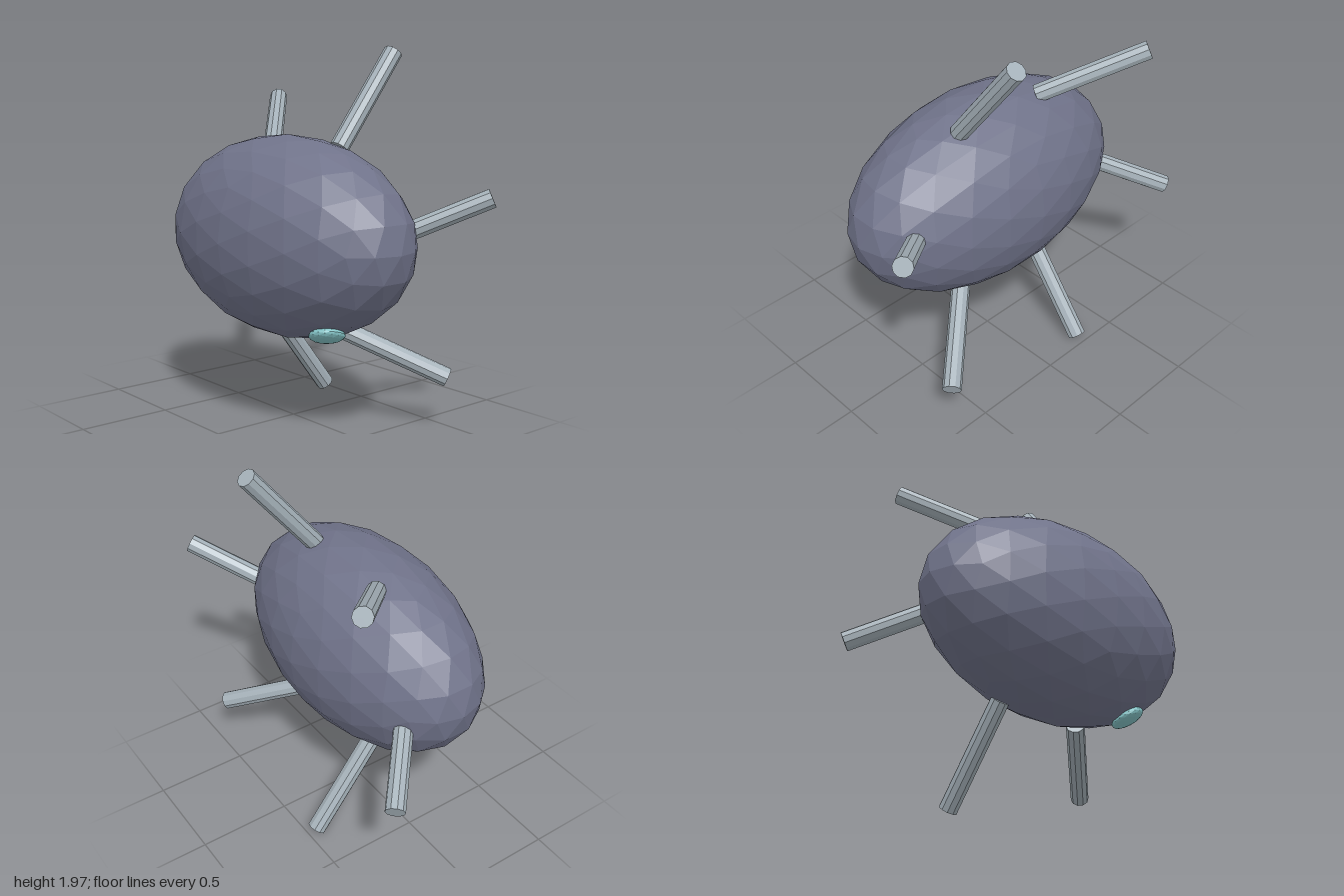
import * as THREE from 'three';

const UP = new THREE.Vector3(0, 1, 0);
const CENTRE_Y = 0.994;

function material(name, color) {
  const m = new THREE.MeshStandardMaterial({ color, flatShading: true });
  m.name = name;
  return m;
}

// Faceted ellipsoid from a subdivided icosahedron
function ellipsoid(name, detail, radii, mat) {
  const geometry = new THREE.IcosahedronGeometry(1, detail);
  geometry.scale(...radii);
  const mesh = new THREE.Mesh(geometry, mat);
  mesh.name = name;
  return mesh;
}

// Straight rod between two points
function rod(name, from, to, radius, mat) {
  const axis = to.clone().sub(from);
  const mesh = new THREE.Mesh(new THREE.CylinderGeometry(radius, radius, axis.length(), 10), mat);
  mesh.position.copy(from).add(to).multiplyScalar(0.5);
  mesh.quaternion.setFromUnitVectors(UP, axis.normalize());
  mesh.name = name;
  return mesh;
}

export function createModel() {
  const model = new THREE.Group();
  model.name = 'sixLeggedPod';
  const slate = material('slate', 0x70738a);
  const steel = material('steel', 0xa5b1b9);
  const teal = material('teal', 0x84c3c6);

  // Body
  const body = ellipsoid('body', 3, [0.835, 0.53, 0.4525], slate);
  body.position.set(0, CENTRE_Y, 0.0375);
  model.add(body);

  // Six legs in a pinwheel, each set off sideways and slanting backwards
  const legs = new THREE.Group();
  legs.name = 'legs';
  for (let i = 0; i < 6; i++) {
    const a = Math.PI / 2 - i * Math.PI / 3;
    const c = Math.cos(a), s = Math.sin(a), side = 0.265;
    const point = (r, z) => new THREE.Vector3(r * c + side * s, CENTRE_Y + r * s - side * c, z);
    legs.add(rod('leg' + (i + 1), point(0.468, -0.08), point(0.952, -0.455), 0.05, steel));
  }
  model.add(legs);

  // Flattened eye lying on the lower left of the body
  const eye = ellipsoid('eye', 2, [0.093, 0.036, 0.093], teal);
  eye.position.set(0.435, 0.555, 0.145);
  eye.quaternion.setFromUnitVectors(UP, new THREE.Vector3(-0.354, 0.89, -0.29).normalize());
  model.add(eye);

  return model;
}
